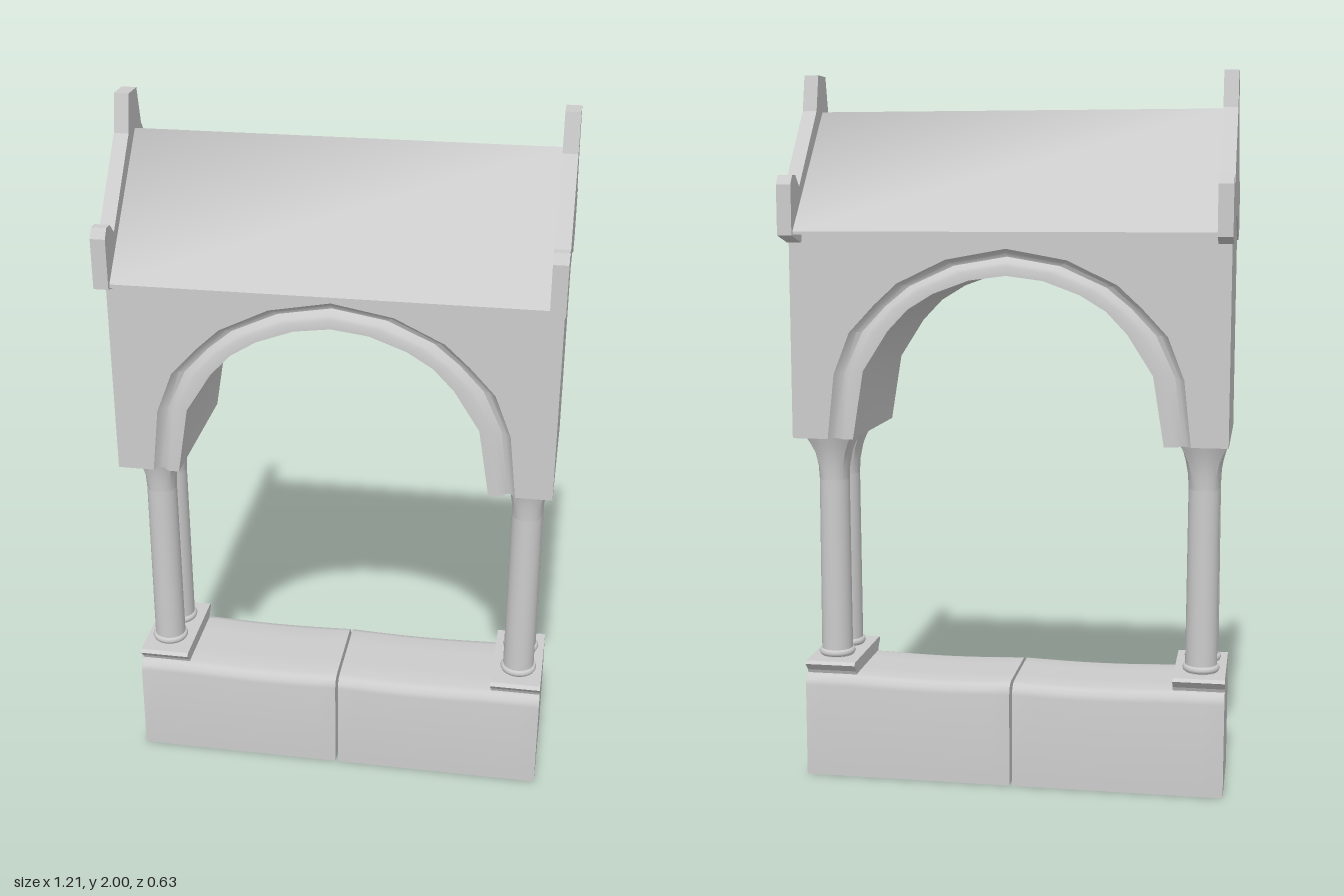
import * as THREE from 'three';
import { toCreasedNormals } from 'three/addons/utils/BufferGeometryUtils.js';

const grey = new THREE.MeshStandardMaterial({ color: 0xcccccc });
const greyThin = new THREE.MeshStandardMaterial({ color: 0xcccccc, side: THREE.DoubleSide });

// Half outlines of the arch, from foot to crown
const INNER = [[0.428, 1], [0.397, 1.19], [0.327, 1.3], [0.27, 1.36], [0.2, 1.403], [0.1, 1.44], [0, 1.453]];
const OUTER = [[0.5, 1], [0.48, 1.18], [0.435, 1.295], [0.365, 1.37], [0.3, 1.43], [0.165, 1.495], [0, 1.525]];

function add(parent, name, geometry, material = grey) {
  const mesh = new THREE.Mesh(geometry, material);
  mesh.name = name;
  parent.add(mesh);
  return mesh;
}

// Left foot, over the crown, to the right foot
const fullArch = half => [...half.map(([x, y]) => [-x, y]), ...half.slice(0, -1).reverse()];

const shapeOf = points => new THREE.Shape(points.map(([x, y]) => new THREE.Vector2(x, y)));

// Mirrors a half section given from the top centre outwards and down
const mirrored = half => [...half, ...half.slice().reverse().map(([x, y]) => [-x, y])];

// Extrudes a (z, y) section along x between x0 and x1
function extrudeX(points, x0, x1, steps = 1) {
  const geo = new THREE.ExtrudeGeometry(shapeOf(points), { depth: x1 - x0, steps, bevelEnabled: false });
  return geo.rotateY(Math.PI / 2).translate(x0, 0, 0);
}

// Surface through rows of equally many points
function loft(rows) {
  const n = rows[0].length, index = [];
  for (let i = 0; i < rows.length - 1; i++) {
    for (let j = 0; j < n - 1; j++) {
      const a = i * n + j, c = a + n;
      index.push(a, a + 1, c, a + 1, c + 1, c);
    }
  }
  const geo = new THREE.BufferGeometry();
  geo.setAttribute('position', new THREE.Float32BufferAttribute(rows.flat(2), 3));
  geo.setIndex(index);
  geo.computeVertexNormals();
  return geo;
}

function createArchWall() {
  const wall = new THREE.Group();
  wall.name = 'archWall';
  const outline = [[-0.6, 1], ...fullArch(OUTER), [0.6, 1], [0.6, 1.6], [-0.6, 1.6]];
  const block = new THREE.ExtrudeGeometry(shapeOf(outline), { depth: 0.45, bevelEnabled: false });
  add(wall, 'wallBlock', block.translate(0, 0, -0.225));

  // Moulded band: share of the way from inner to outer edge, and z
  const front = [[1, 0.225], [0.85, 0.208], [0.7, 0.204], [0.5, 0.22], [0.35, 0.225], [0, 0.225]];
  const section = [...front, ...front.slice().reverse().map(([t, z]) => [t, -z])];
  const inner = fullArch(INNER), outer = fullArch(OUTER);
  const mix = (a, b, t) => a + (b - a) * t;
  const rows = inner.map(([x, y], i) =>
    section.map(([t, z]) => [mix(x, outer[i][0], t), mix(y, outer[i][1], t), z]));
  add(wall, 'archMoulding', toCreasedNormals(loft(rows), 0.7), greyThin);

  // Undersides of the two arch feet
  for (const s of [-1, 1]) {
    const foot = shapeOf(section.map(([t, z]) => [s * mix(INNER[0][0], OUTER[0][0], t), z]));
    add(wall, 'archFoot', new THREE.ShapeGeometry(foot).rotateX(Math.PI / 2).translate(0, 1, 0));
  }
  return wall;
}

// Capital that flares from a round neck to a square top
function capitalGeometry() {
  const levels = [[0.86, 0.043, 0], [0.9, 0.045, 0.15], [0.94, 0.052, 0.4], [0.97, 0.06, 0.7], [1, 0.07, 1]];
  const sides = 32;
  const rows = levels.map(([y, r, square]) => Array.from({ length: sides + 1 }, (_, k) => {
    const a = -k / sides * Math.PI * 2, c = Math.cos(a), s = Math.sin(a);
    const m = 1 + square * (1 / Math.max(Math.abs(c), Math.abs(s)) - 1);
    return [r * m * c, y, r * m * s];
  }));
  return toCreasedNormals(loft(rows), 0.6);
}

function createColumn() {
  const column = new THREE.Group();
  column.name = 'column';
  add(column, 'shaft', new THREE.CylinderGeometry(0.043, 0.045, 0.53, 24).translate(0, 0.6, 0));
  add(column, 'baseRing', new THREE.TorusGeometry(0.042, 0.011, 8, 24).rotateX(Math.PI / 2).translate(0, 0.35, 0));
  add(column, 'capital', capitalGeometry(), greyThin);
  return column;
}

function createRoof() {
  const roof = new THREE.Group();
  roof.name = 'roof';
  // Two slopes sharing a soft ridge
  const slopes = new THREE.PlaneGeometry(1.13, 0.605, 1, 2).rotateX(-Math.PI / 2);
  const pos = slopes.attributes.position;
  for (let i = 0; i < pos.count; i++) pos.setY(i, 1.9 - Math.abs(pos.getZ(i)) * 1.085);
  slopes.computeVertexNormals();
  add(roof, 'roofSlopes', slopes, greyThin);
  const eaves = mirrored([[0, 1.88], [0.302, 1.571], [0.302, 1.562], [0.225, 1.585]]);
  add(roof, 'eaves', extrudeX(eaves.slice(0, -1), -0.565, 0.565));

  // Gable ends with finial and shoulder horns
  const gable = mirrored([[0.035, 2], [0.058, 1.9], [0.235, 1.69], [0.268, 1.72], [0.295, 1.72],
    [0.313, 1.695], [0.313, 1.56], [0.23, 1.54], [0.15, 1.585], [0.07, 1.61]]);
  add(roof, 'rightGable', extrudeX(gable, -0.604, -0.564));
  add(roof, 'leftGable', extrudeX(gable, 0.564, 0.604));
  return roof;
}

function createBase() {
  const base = new THREE.Group();
  base.name = 'base';
  const section = mirrored([[0.05, 0.3], [0.115, 0.3], [0.135, 0.295], [0.147, 0.283], [0.15, 0.268], [0.15, 0]]);
  for (const s of [-1, 1]) {
    // Stone block with a gently worn top
    const block = s < 0 ? extrudeX(section, -0.6, -0.004, 10) : extrudeX(section, 0.004, 0.6, 10);
    const pos = block.attributes.position;
    for (let i = 0; i < pos.count; i++) {
      const x = Math.abs(pos.getX(i));
      if (pos.getY(i) > 0.2 && x < 0.45) {
        pos.setY(i, pos.getY(i) - 0.006 * Math.sin(x / 0.45 * Math.PI));
      }
    }
    add(base, 'baseBlock', toCreasedNormals(block, 0.7));

    // Plinth slab undercut towards the stone
    const slab = mirrored([[0.14, 0.338], [0.15, 0.33], [0.128, 0.308], [0.122, 0.295]]);
    add(base, 'plinth', extrudeX(slab, s * 0.5275 - 0.0725, s * 0.5275 + 0.0725));
  }
  return base;
}

export function createModel() {
  const model = new THREE.Group();
  model.name = 'archedShrine';
  model.add(createBase(), createArchWall(), createRoof());
  for (const x of [-0.53, 0.53]) {
    for (const z of [-0.057, 0.057]) {
      const column = createColumn();
      column.position.set(x, 0, z);
      model.add(column);
    }
  }
  return model;
}
